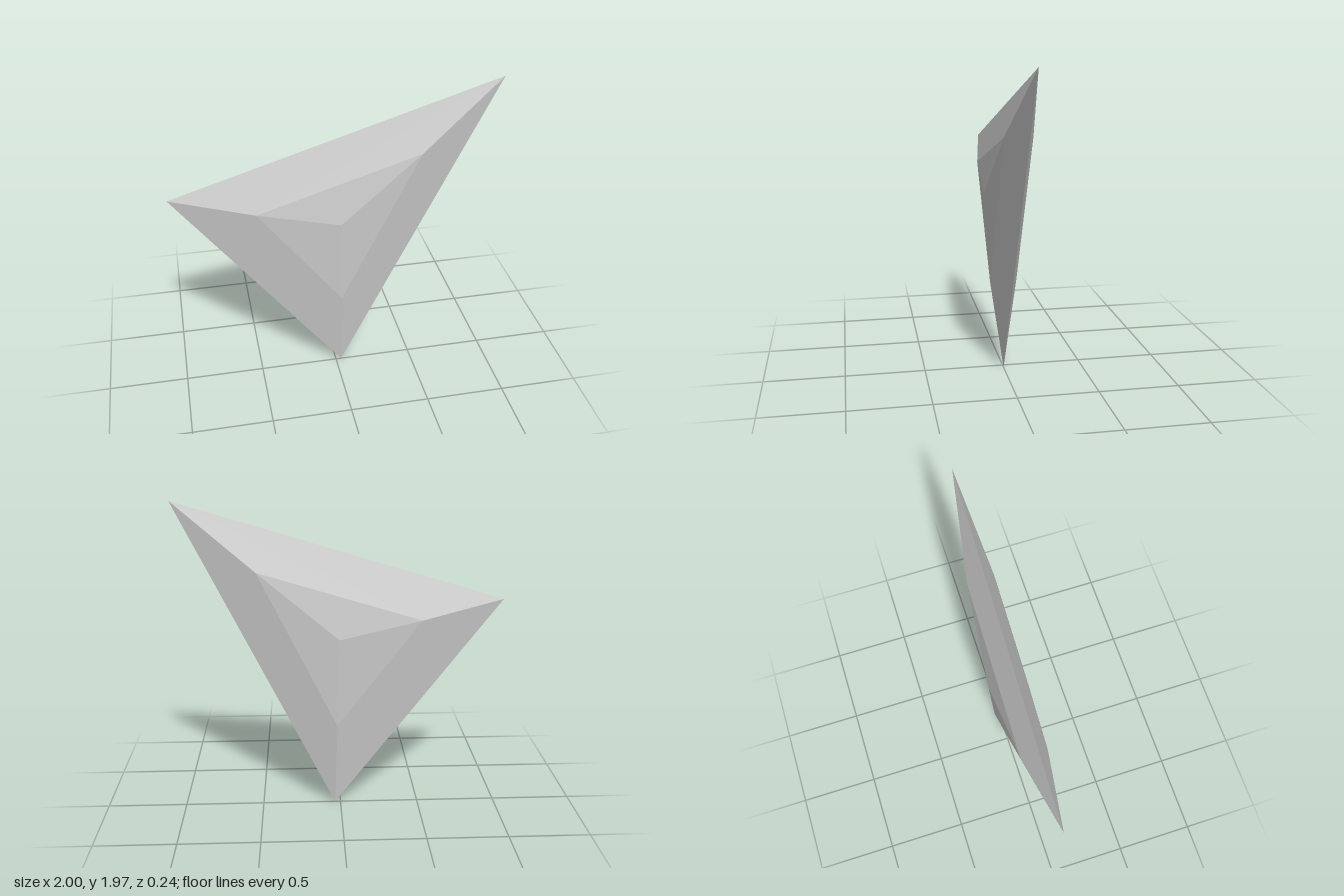
import * as THREE from 'three';

// Outline corners, counter-clockwise seen from the front
const CORNERS = [[-1, 1.355], [0.035, 0], [1, 1.965]];
const CENTRE = [0.01, 1.14];
const INNER_Z = 0.083; // depth of the bevel ring halfway to the centre
const APEX_Z = 0.118;

// One faceted half of the shard; side is 1 for the front, -1 for the back
function facetedHalf(side) {
  const rim = CORNERS.map(([x, y]) => [x, y, 0]);
  const ring = CORNERS.map(([x, y]) => [(x + CENTRE[0]) / 2, (y + CENTRE[1]) / 2, INNER_Z * side]);
  const apex = [...CENTRE, APEX_Z * side];
  const positions = [];
  const tri = (a, b, c) => positions.push(...a, ...(side > 0 ? b : c), ...(side > 0 ? c : b));
  for (let i = 0; i < 3; i++) {
    const j = (i + 1) % 3;
    tri(rim[i], rim[j], ring[j]); // steep outer bevel
    tri(rim[i], ring[j], ring[i]);
    tri(ring[i], ring[j], apex); // shallow inner facet
  }
  const geometry = new THREE.BufferGeometry();
  geometry.setAttribute('position', new THREE.Float32BufferAttribute(positions, 3));
  geometry.computeVertexNormals();
  return geometry;
}

export function createModel() {
  const group = new THREE.Group();
  group.name = 'triangularShard';
  const grey = new THREE.MeshStandardMaterial({ color: 0xcccccc, flatShading: true });
  grey.name = 'lightGrey';
  for (const [name, side] of [['frontFacets', 1], ['backFacets', -1]]) {
    const mesh = new THREE.Mesh(facetedHalf(side), grey);
    mesh.name = name;
    group.add(mesh);
  }
  return group;
}
